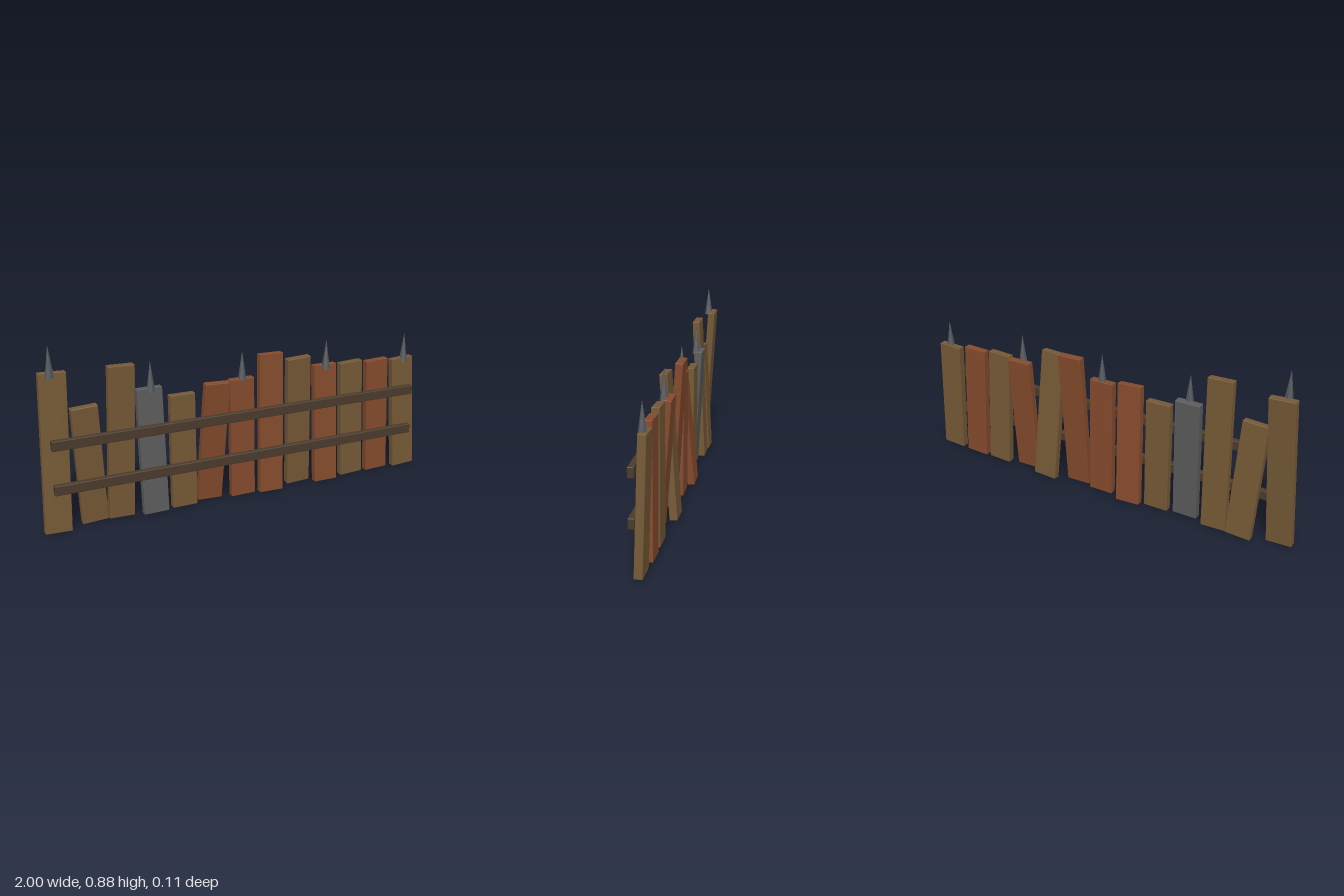
import * as THREE from 'three';
import { RoundedBoxGeometry } from 'three/addons/geometries/RoundedBoxGeometry.js';

const mat = (name, color, flatShading = false) => {
  const m = new THREE.MeshStandardMaterial({ color, flatShading });
  m.name = name;
  return m;
};

export function createModel() {
  const group = new THREE.Group();
  const brown = mat('brown wood', 0x745835);
  const rust = mat('rusty red', 0x834a2c);
  const grey = mat('grey metal', 0x5a5a5a);
  const dark = mat('dark rail wood', 0x4a3a2b);
  const steel = mat('spike steel', 0x54585c, true);

  const add = (name, geometry, material, x, y, z) => {
    const mesh = new THREE.Mesh(geometry, material);
    mesh.name = name;
    mesh.position.set(x, y, z);
    group.add(mesh);
    return mesh;
  };

  // Leaning planks: material, bottom x, top x, top height, bottom z, top z
  const planks = [
    [brown, -0.936, -0.906, 0.752, 0.02, -0.03],
    [brown, -0.75, -0.783, 0.587, -0.026, 0.01],
    [brown, -0.623, -0.604, 0.757, -0.02, 0.01],
    [grey, -0.46, -0.466, 0.622, 0.01, -0.024],
    [brown, -0.31, -0.31, 0.574, -0.004, -0.008],
    [rust, -0.168, -0.142, 0.613, -0.034, 0.02],
    [rust, 0, -0.005, 0.609, -0.004, -0.008],
    [rust, 0.145, 0.16, 0.707, 0.018, -0.03],
    [brown, 0.32, 0.286, 0.683, -0.031, 0.02],
    [rust, 0.455, 0.46, 0.614, 0.018, -0.03],
    [brown, 0.622, 0.595, 0.617, -0.009, -0.005],
    [rust, 0.773, 0.748, 0.608, -0.008, -0.005],
    [brown, 0.936, 0.904, 0.597, 0.002, -0.013],
  ];
  const foot = 0.006;
  for (const [material, x0, x1, top, z0, z1] of planks) {
    const dy = top - foot;
    const length = Math.hypot(dy, x1 - x0, z1 - z0);
    const plank = add('plank', new RoundedBoxGeometry(0.125, length, 0.037, 1, 0.003), material,
      (x0 + x1) / 2, (top + foot) / 2, (z0 + z1) / 2);
    plank.rotation.set(Math.atan2(z1 - z0, dy), 0, -Math.atan2(x1 - x0, dy));
  }

  // Two rails across the front
  for (const y of [0.22, 0.434]) {
    add('rail', new RoundedBoxGeometry(1.89, 0.048, 0.029, 1, 0.004), dark, -0.001, y, 0.039);
  }

  // Spikes on top of every third plank: x, tip height
  const spikeHeight = 0.148;
  const spikeGeometry = new THREE.ConeGeometry(0.021, spikeHeight, 6);
  for (const [x, tip] of [[-0.92, 0.883], [-0.46, 0.752], [0, 0.744], [0.457, 0.744], [0.915, 0.724]]) {
    add('spike', spikeGeometry, steel, x, tip - spikeHeight / 2, -0.005);
  }
  return group;
}
